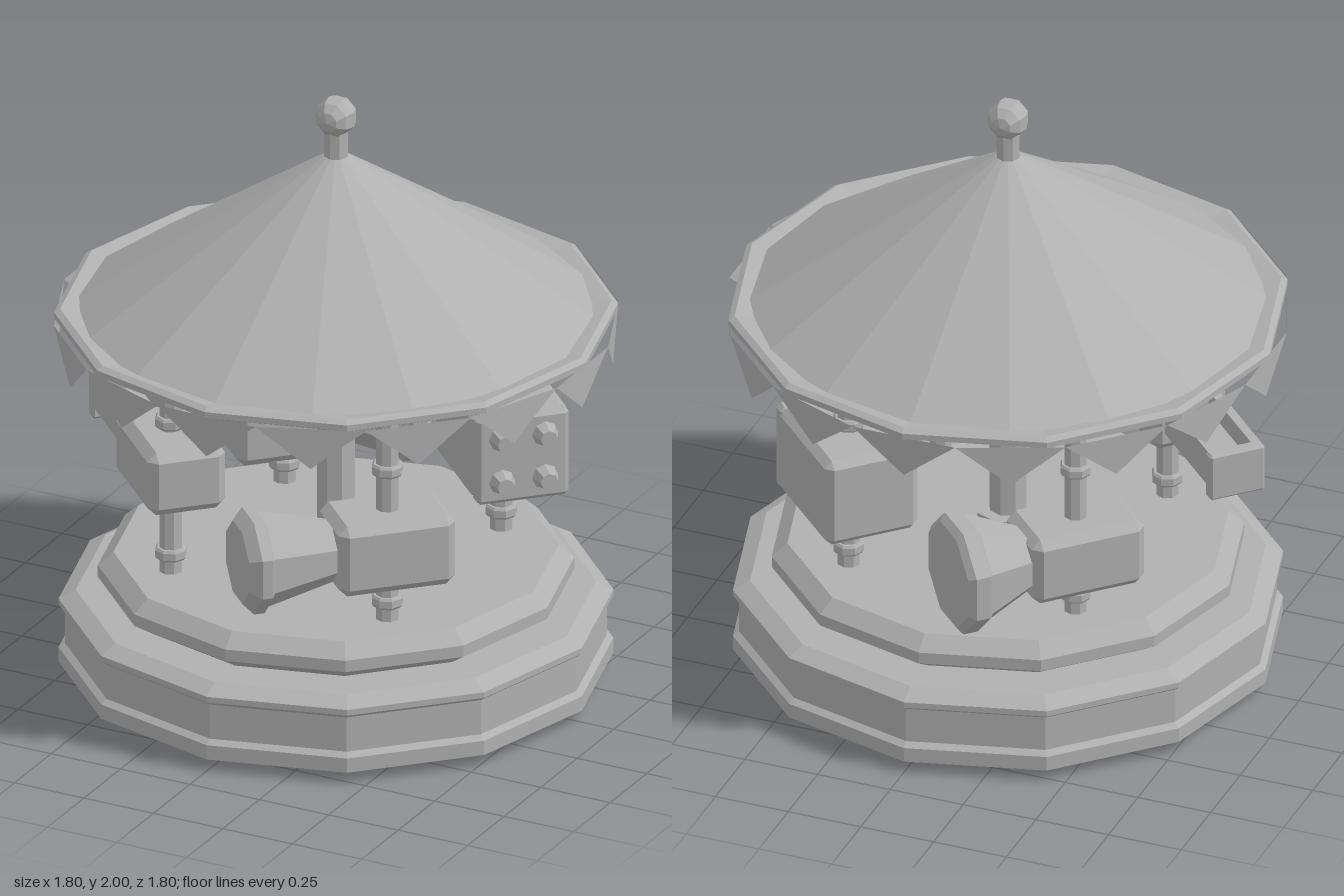
import * as THREE from 'three';
import { ConvexGeometry } from 'three/addons/geometries/ConvexGeometry.js';

const grey = new THREE.MeshStandardMaterial({ color: 0xb0b0b0, flatShading: true, side: THREE.DoubleSide });
grey.name = 'grey';

function add(parent, name, geometry, x = 0, y = 0, z = 0) {
  const mesh = new THREE.Mesh(geometry, grey);
  mesh.name = name;
  mesh.position.set(x, y, z);
  parent.add(mesh);
  return mesh;
}

// Faceted turned part; profile is [radius, height] from bottom to top
function turned(profile, sides) {
  return new THREE.LatheGeometry(profile.map(([r, y]) => new THREE.Vector2(r, y)), sides);
}

// Box with every edge cut at 45 degrees
function chamferBox(length, height, width, c) {
  const half = [length / 2, height / 2, width / 2];
  const points = [];
  for (const sx of [-1, 1]) for (const sy of [-1, 1]) for (const sz of [-1, 1]) {
    for (let full = 0; full < 3; full++) {
      const [x, y, z] = half.map((h, i) => (i === full ? h : h - c));
      points.push(new THREE.Vector3(sx * x, sy * y, sz * z));
    }
  }
  return new ConvexGeometry(points);
}

// Horn along +x with a bevelled eight-sided mouth
function horn(profile) {
  return turned(profile, 8).rotateY(Math.PI / 8).rotateZ(-Math.PI / 2);
}

function addPole(parent) {
  add(parent, 'pole', new THREE.CylinderGeometry(0.038, 0.038, 0.83, 8), 0, 0.825, 0);
  for (const y of [0.485, 0.945, 1.185]) {
    add(parent, 'poleCollar', turned([[0, -0.02], [0.046, -0.02], [0.052, -0.012], [0.052, 0.012], [0.046, 0.02], [0, 0.02]], 8), 0, y, 0);
  }
}

export function createModel() {
  const model = new THREE.Group();
  model.name = 'carousel';

  // Stepped base
  add(model, 'base', turned([
    [0, 0], [0.72, 0], [0.885, 0.04], [0.885, 0.09], [0.865, 0.105], [0.865, 0.225],
    [0.885, 0.24], [0.885, 0.26], [0.83, 0.29], [0, 0.29],
  ], 12));
  add(model, 'platform', turned([
    [0, 0.28], [0.69, 0.29], [0.76, 0.335], [0.76, 0.375], [0.71, 0.42], [0, 0.42],
  ], 12));

  // Centre column
  add(model, 'column', new THREE.CylinderGeometry(0.063, 0.063, 0.83, 8), 0, 0.825, 0);
  add(model, 'columnFoot', new THREE.CylinderGeometry(0.105, 0.105, 0.08, 8), 0, 0.458, 0);

  // Canopy
  add(model, 'canopyRim', turned([
    [0, 1.235], [0.88, 1.235], [0.9, 1.245], [0.9, 1.265], [0.88, 1.277], [0.82, 1.265], [0, 1.265],
  ], 12));
  add(model, 'canopyRoof', turned([[0.84, 1.258], [0.04, 1.8], [0, 1.8]], 16));
  const flag = new THREE.Shape([
    new THREE.Vector2(-0.176, 1.245), new THREE.Vector2(0, 1.105), new THREE.Vector2(0.176, 1.245),
  ]);
  const flagGeometry = new THREE.ShapeGeometry(flag).translate(0, 0, 0.887);
  for (let i = 0; i < 16; i++) {
    add(model, 'pennant', flagGeometry).rotation.y = i * Math.PI / 8;
  }

  // Finial
  add(model, 'finialStem', new THREE.CylinderGeometry(0.04, 0.04, 0.14, 8), 0, 1.83, 0);
  add(model, 'finialBall', new THREE.SphereGeometry(0.068, 8, 6).rotateX(Math.PI / 2).rotateZ(Math.PI / 8), 0, 1.937, 0);

  // Four rides; each faces along its local +x, tangent to the platform
  const ride = (name, x, z, turn) => {
    const group = new THREE.Group();
    group.name = name;
    group.position.set(x, 0, z);
    group.rotation.y = turn;
    addPole(group);
    model.add(group);
    return group;
  };
  const p = 0.39;
  const q = Math.PI / 4;

  // Front left: box with a long horn
  const longHorn = ride('longHornRide', p, p, -3 * q);
  add(longHorn, 'rideBody', chamferBox(0.39, 0.245, 0.26, 0.03), 0, 0.683, 0);
  add(longHorn, 'horn', horn([
    [0, 0.18], [0.098, 0.18], [0.155, 0.42], [0.173, 0.43], [0.173, 0.465], [0.135, 0.5], [0, 0.5],
  ]), 0, 0.683, 0);

  // Back right: box with a wide horn
  const wideHorn = ride('wideHornRide', -p, -p, q);
  add(wideHorn, 'rideBody', chamferBox(0.39, 0.235, 0.26, 0.03), 0, 0.652, 0);
  add(wideHorn, 'horn', horn([
    [0, 0.18], [0.105, 0.18], [0.185, 0.36], [0.2, 0.37], [0.2, 0.42], [0.175, 0.44], [0, 0.44],
  ]), 0, 0.65, 0);

  // Back left: large box with a panel of four knobs
  const knobs = ride('knobRide', p, -p, -q);
  add(knobs, 'rideBody', chamferBox(0.41, 0.31, 0.32, 0.025), 0, 0.77, 0);
  add(knobs, 'knobPanel', chamferBox(0.06, 0.305, 0.31, 0.015), 0.21, 0.768, 0);
  const knob = new THREE.CylinderGeometry(0.028, 0.045, 0.05, 8).rotateZ(-Math.PI / 2);
  for (const sy of [-1, 1]) for (const sz of [-1, 1]) {
    add(knobs, 'knob', knob, 0.26, 0.768 + sy * 0.075, sz * 0.072);
  }

  // Front right: box with a railed arm ending in a plate
  const arm = ride('armRide', -p, p, 3 * q);
  add(arm, 'rideBody', chamferBox(0.39, 0.22, 0.26, 0.03), 0, 0.808, 0);
  add(arm, 'armFloor', new THREE.BoxGeometry(0.38, 0.055, 0.15), 0.37, 0.793, 0);
  for (const s of [-1, 1]) {
    add(arm, 'armRail', new THREE.BoxGeometry(0.38, 0.125, 0.03), 0.37, 0.828, s * 0.075);
  }
  add(arm, 'armEndPlate', chamferBox(0.045, 0.165, 0.19, 0.008), 0.555, 0.808, 0);

  return model;
}
